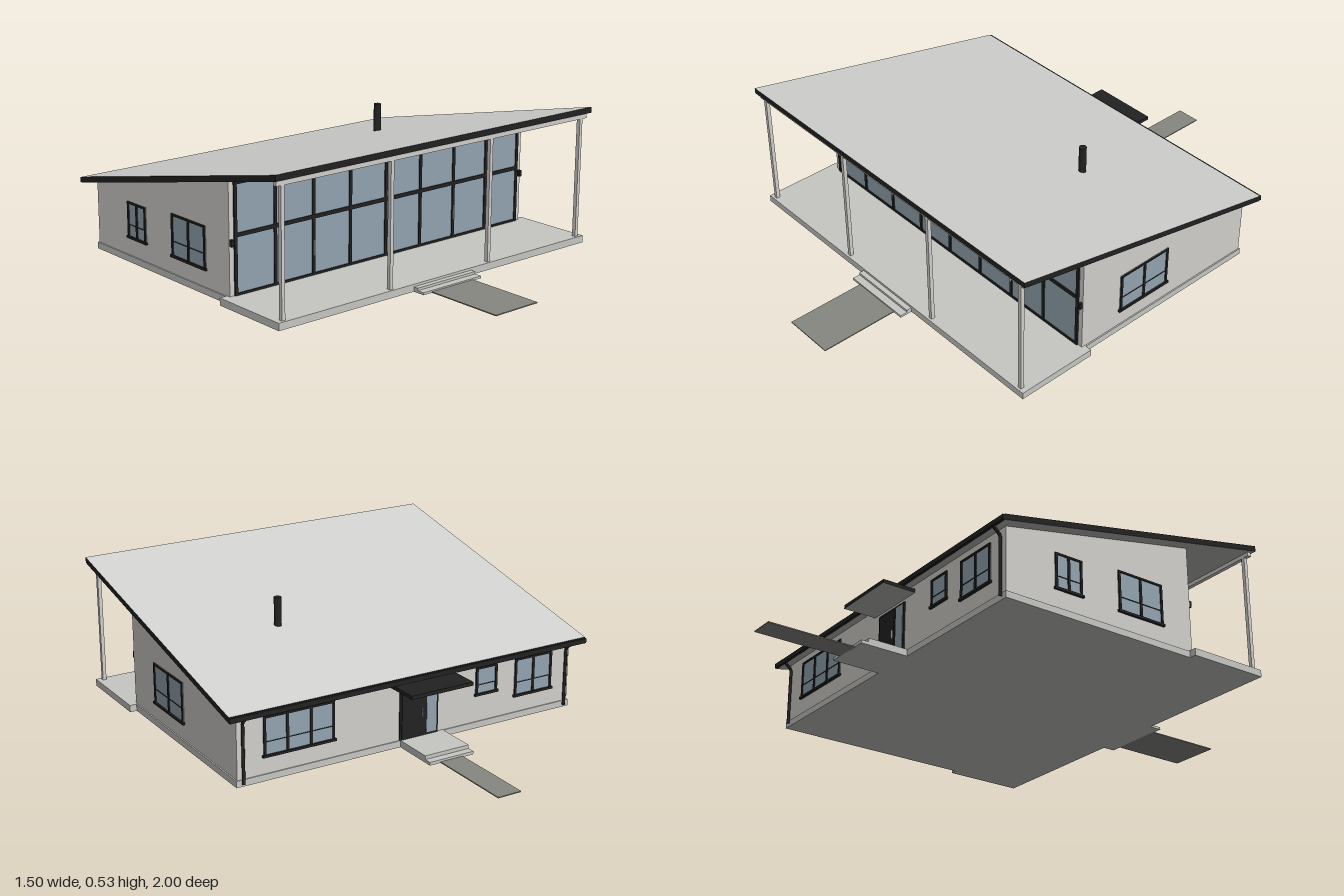
import * as THREE from 'three';

const mat = (name, color, extra = {}) => {
  const m = new THREE.MeshStandardMaterial({ color, ...extra });
  m.name = name;
  return m;
};

export function createModel() {
  const wall = mat('wall render', 0xd2d0cc);
  const concrete = mat('concrete', 0xc6c6c2);
  const roofing = mat('roof sheet', 0xd2d2d0);
  const soffit = mat('soffit', 0xb8b8b6);
  const black = mat('black metal', 0x222222);
  const glass = mat('glass', 0x92a4af);
  const paving = mat('paving', 0x888882);
  const steel = mat('steel', 0xb4b8ba);

  const house = new THREE.Group();
  house.name = 'house';

  // Box given by its limits on each axis
  const box = (name, material, [x0, x1], [y0, y1], [z0, z1], parent = house) => {
    const g = new THREE.BoxGeometry(x1 - x0, y1 - y0, z1 - z0);
    g.translate((x0 + x1) / 2, (y0 + y1) / 2, (z0 + z1) / 2);
    const m = new THREE.Mesh(g, material);
    m.name = name;
    parent.add(m);
    return m;
  };
  const tube = (name, material, points, r) => {
    const path = new THREE.CurvePath();
    for (let i = 1; i < points.length; i++)
      path.add(new THREE.LineCurve3(new THREE.Vector3(...points[i - 1]), new THREE.Vector3(...points[i])));
    const m = new THREE.Mesh(new THREE.TubeGeometry(path, 24, r, 8), material);
    m.name = name;
    house.add(m);
  };

  const slope = 0.2138, roofZ0 = -0.51, roofZ1 = 0.65, thick = 0.022;
  const roofTop = z => 0.526 - (roofZ1 - z) * slope;
  const under = z => roofTop(z) - thick;
  const W = 0.705, FRONT = 0.34, BACK = -0.473;

  // Ground works
  box('foundation', concrete, [-0.71, 0.71], [0, 0.025], [-0.477, FRONT]);
  box('terrace', concrete, [-0.737, 0.737], [0, 0.027], [0.325, 0.645]);
  box('frontStepUpper', concrete, [-0.14, 0.14], [0, 0.018], [0.64, 0.665]);
  box('frontStepLower', concrete, [-0.14, 0.14], [0, 0.009], [0.66, 0.694]);
  box('frontPath', paving, [-0.1, 0.1], [0, 0.004], [0.69, 1]);
  box('backLanding', concrete, [-0.135, 0.05], [0, 0.026], [-0.635, -0.47]);
  box('backStep', concrete, [-0.135, 0.05], [0, 0.012], [-0.664, -0.63]);
  box('backPath', paving, [-0.09, 0.005], [0, 0.004], [-1, -0.66]);

  // House body: side profile extruded across the width
  const profile = new THREE.Shape();
  profile.moveTo(BACK, 0.02);
  profile.lineTo(FRONT, 0.02);
  profile.lineTo(FRONT, under(FRONT) + 0.003);
  profile.lineTo(BACK, under(BACK) + 0.003);
  const bodyGeo = new THREE.ExtrudeGeometry(profile, { depth: 2 * W, bevelEnabled: false });
  bodyGeo.rotateY(-Math.PI / 2).translate(W, 0, 0);
  const body = new THREE.Mesh(bodyGeo, wall);
  body.name = 'walls';
  house.add(body);

  // Mono-pitch roof: a box sheared along the slope
  const roofGeo = new THREE.BoxGeometry(1.5, thick, roofZ1 - roofZ0);
  const p = roofGeo.attributes.position;
  const zMid = (roofZ0 + roofZ1) / 2;
  for (let i = 0; i < p.count; i++) {
    const z = p.getZ(i) + zMid;
    p.setXYZ(i, p.getX(i), p.getY(i) - thick / 2 + roofTop(z), z);
  }
  roofGeo.computeVertexNormals();
  const roof = new THREE.Mesh(roofGeo, [black, black, roofing, soffit, black, black]);
  roof.name = 'roof';
  house.add(roof);

  // Chimney flue
  const flue = new THREE.Mesh(new THREE.CylinderGeometry(0.014, 0.014, 0.125, 16), black);
  flue.position.set(0.3, 0.4225, -0.04);
  flue.name = 'chimneyFlue';
  house.add(flue);

  // Veranda posts and beam
  for (const x of [-0.71, -0.237, 0.237, 0.71])
    box('verandaPost', wall, [x - 0.007, x + 0.007], [0.025, 0.49], [0.621, 0.636]);
  box('verandaBeam', wall, [-0.737, 0.737], [0.483, 0.499], [0.621, 0.637]);

  // Glazed front
  const y0 = 0.028, y1 = 0.425;
  box('frontGlass', glass, [-0.68, 0.68], [y0, y1], [FRONT - 0.002, FRONT + 0.002]);
  for (let i = 0; i <= 8; i++) {
    const x = -0.68 + i * 0.17;
    box('frontMullion', black, [x - 0.006, x + 0.006], [y0, y1], [FRONT, FRONT + 0.006]);
  }
  for (const [y, h] of [[y0 + 0.003, 0.004], [0.241, 0.007], [y1 - 0.003, 0.004]])
    box('frontTransom', black, [-0.686, 0.686], [y - h, y + h], [FRONT, FRONT + 0.0065]);
  for (const s of [-1, 1]) {
    box('frontDoorHandle', steel, [s * 0.34 - 0.002, s * 0.34 + 0.002], [0.1, 0.155], [FRONT + 0.006, FRONT + 0.011]);
    box('wallLamp', black, [s * 0.698 - 0.005, s * 0.698 + 0.005], [0.205, 0.229], [FRONT, FRONT + 0.012]);
  }

  // Framed window, drawn facing +z and then turned onto its wall
  const addWindow = (name, w, h, cols, x, y, z, turn) => {
    const g = new THREE.Group();
    g.name = name;
    const a = w / 2, f = 0.009;
    box('pane', glass, [-a, a], [0, h], [-0.003, 0.002], g);
    for (const s of [-1, 1])
      box('sideFrame', black, [s * (a - f / 2) - f / 2, s * (a - f / 2) + f / 2], [0, h], [-0.002, 0.006], g);
    box('headFrame', black, [-a, a], [h - 0.007, h], [-0.002, 0.0062], g);
    box('sill', black, [-a - 0.005, a + 0.005], [-0.003, 0.006], [-0.002, 0.009], g);
    for (let i = 1; i < cols; i++) {
      const c = -a + (w * i) / cols;
      box('mullion', black, [c - 0.005, c + 0.005], [0, h], [-0.002, 0.0055], g);
    }
    box('glazingBar', black, [-a, a], [h * 0.36 - 0.0015, h * 0.36 + 0.0015], [-0.002, 0.004], g);
    g.position.set(x, y, z);
    g.rotation.y = turn;
    house.add(g);
  };
  const R = Math.PI / 2;
  addWindow('rightWallWindow', 0.235, 0.157, 2, W, 0.09, 0.042, R);
  addWindow('sideWindowLarge', 0.2, 0.157, 2, -W, 0.09, 0.107, -R);
  addWindow('sideWindowSmall', 0.115, 0.135, 2, -W, 0.095, -0.212, -R);
  addWindow('backWindowWide', 0.28, 0.147, 3, 0.463, 0.09, BACK, 2 * R);
  addWindow('backWindowSmall', 0.095, 0.107, 1, -0.324, 0.13, BACK, 2 * R);
  addWindow('backWindowMedium', 0.17, 0.147, 2, -0.538, 0.09, BACK, 2 * R);

  // Back door with sidelight
  box('doorFrame', black, [-0.11, 0.054], [0.026, 0.222], [BACK - 0.005, BACK]);
  box('backDoor', black, [-0.05, 0.046], [0.028, 0.214], [BACK - 0.008, BACK]);
  box('sidelight', glass, [-0.102, -0.06], [0.034, 0.214], [BACK - 0.007, BACK]);
  box('backDoorHandle', steel, [-0.042, -0.038], [0.1, 0.135], [BACK - 0.013, BACK - 0.007]);

  // Porch canopy
  box('porchCanopy', [black, black, black, soffit, black, black], [-0.17, 0.09], [0.234, 0.248], [-0.605, -0.47]);

  // Gutter and downpipes
  box('gutter', black, [-0.75, 0.75], [0.257, 0.275], [-0.519, -0.508]);
  for (const s of [-1, 1])
    tube('downpipe', black, [[s * 0.685, 0.262, -0.51], [s * 0.685, 0.236, -0.482], [s * 0.685, 0.01, -0.482]], 0.006);

  return house;
}
